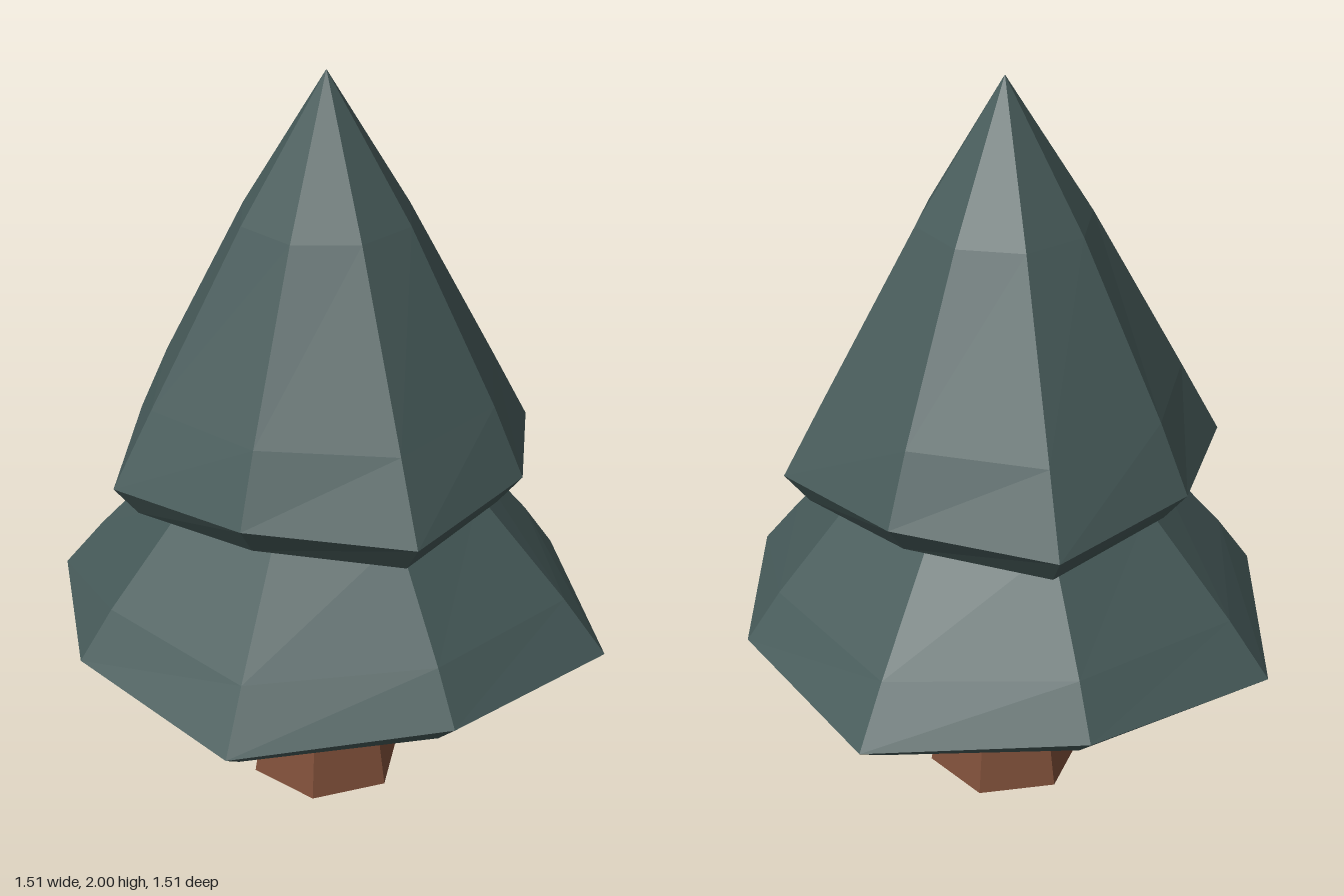
import * as THREE from 'three';

const DEG = Math.PI / 180;

// Closed faceted solid from rings listed bottom to top.
// Each ring is [radius, y, radius, y] for its alternating corners.
function ringSolid(name, material, sides, startDeg, rings) {
  const corner = (ring, i) => {
    const a = startDeg * DEG + (i % sides) * 2 * Math.PI / sides;
    const k = (i % 2) * 2;
    return [ring[k] * Math.sin(a), ring[k + 1], ring[k] * Math.cos(a)];
  };
  const middle = ring => [0, (ring[1] + ring[3]) / 2, 0];
  const first = rings[0], last = rings[rings.length - 1];
  const p = [];
  for (let i = 0; i < sides; i++) {
    p.push(...middle(first), ...corner(first, i + 1), ...corner(first, i));
    for (let j = 0; j < rings.length - 1; j++) {
      const a = corner(rings[j], i), b = corner(rings[j], i + 1);
      const c = corner(rings[j + 1], i + 1), d = corner(rings[j + 1], i);
      p.push(...a, ...b, ...c, ...a, ...c, ...d);
    }
    p.push(...middle(last), ...corner(last, i), ...corner(last, i + 1));
  }
  const geometry = new THREE.BufferGeometry();
  geometry.setAttribute('position', new THREE.Float32BufferAttribute(p, 3));
  geometry.computeVertexNormals();
  const mesh = new THREE.Mesh(geometry, material);
  mesh.name = name;
  return mesh;
}

export function createModel() {
  const needles = new THREE.MeshStandardMaterial({ color: 0x475b5a, flatShading: true });
  needles.name = 'needle green';
  const bark = new THREE.MeshStandardMaterial({ color: 0x80503a, flatShading: true });
  bark.name = 'bark brown';

  const tree = new THREE.Group();
  tree.name = 'pineTree';

  // Six-sided trunk, flared at the foot
  const even = (r, y) => [r, y, r, y];
  tree.add(ringSolid('trunk', bark, 6, 20, [
    even(0.21, 0), even(0.183, 0.175), even(0.156, 0.4), even(0.155, 0.46),
  ]));

  // Wide lower tier of branches, its top hidden in the upper tier
  tree.add(ringSolid('lowerBranches', needles, 8, 11.7, [
    [0.68, 0.428, 0.63, 0.443],
    [0.77, 0.49, 0.711, 0.515],
    [0.655, 0.635, 0.62, 0.645],
    [0.415, 0.905, 0.405, 0.905],
    [0.33, 1.0, 0.33, 1.0],
  ]));

  // Pointed upper tier
  tree.add(ringSolid('upperBranches', needles, 8, 7.5, [
    [0.475, 0.912, 0.52, 0.886],
    [0.54, 0.995, 0.584, 0.967],
    [0.458, 1.18, 0.476, 1.17],
    [0.228, 1.628, 0.228, 1.628],
    [0.001, 2, 0.001, 2],
  ]));

  return tree;
}
